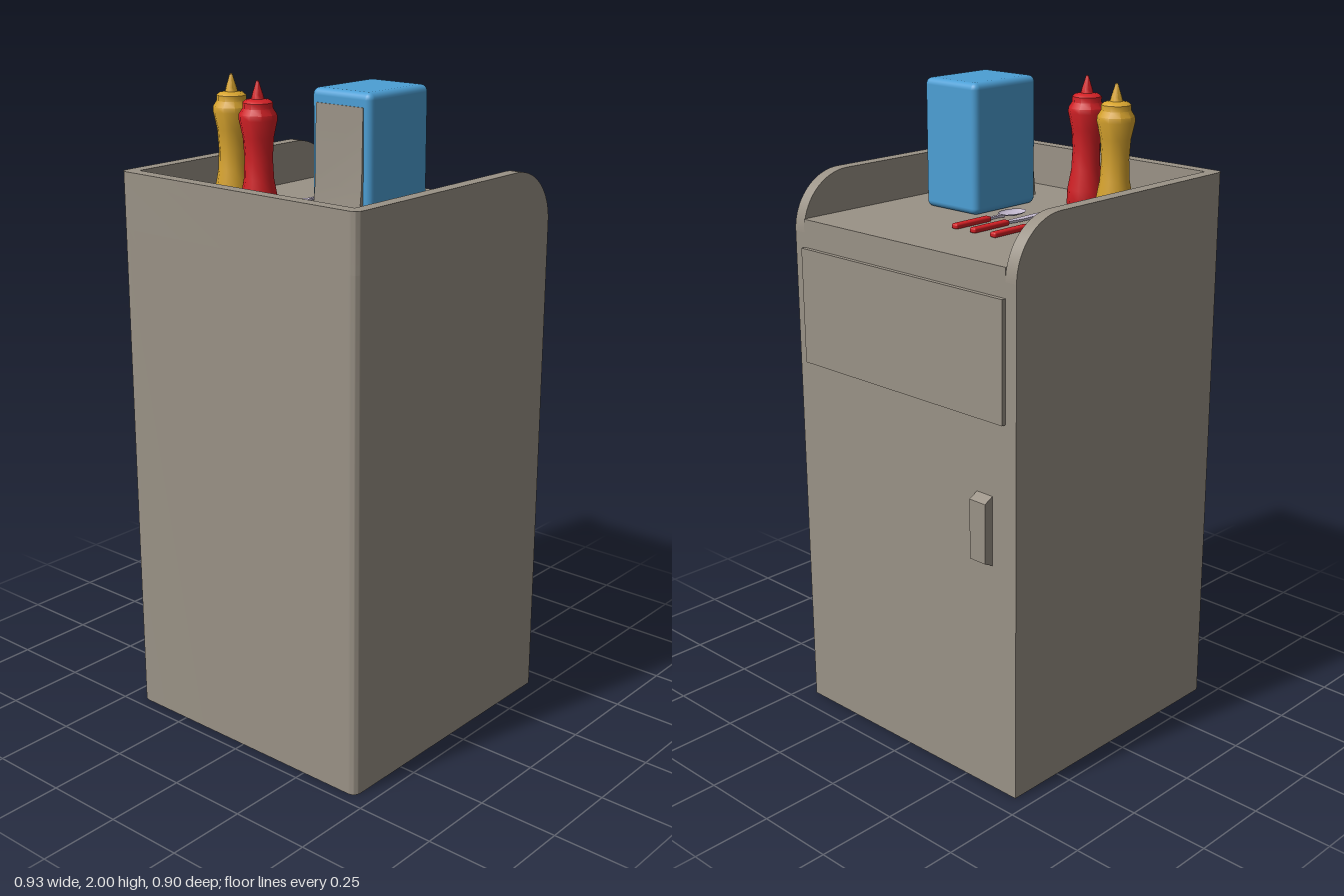
import * as THREE from 'three';
import { toCreasedNormals } from 'three/addons/utils/BufferGeometryUtils.js';
import { RoundedBoxGeometry } from 'three/addons/geometries/RoundedBoxGeometry.js';

const mat = (name, color, side = THREE.FrontSide) => {
  const m = new THREE.MeshStandardMaterial({ color, side });
  m.name = name;
  return m;
};

export function createModel() {
  const group = new THREE.Group();
  group.name = 'condimentStation';
  const gray = mat('warmGray', 0x9a9286);
  const blue = mat('blue', 0x4c9fd5);
  const red = mat('red', 0xd32025);
  const mustard = mat('mustard', 0xd8a42e);
  const metal = mat('paleMetal', 0xc3b9cf, THREE.DoubleSide);

  const add = (name, geo, material, x = 0, y = 0, z = 0) => {
    const mesh = new THREE.Mesh(geo, material);
    mesh.name = name;
    mesh.position.set(x, y, z);
    group.add(mesh);
    return mesh;
  };
  const box = (name, material, x0, x1, y0, y1, z0, z1) =>
    add(name, new THREE.BoxGeometry(x1 - x0, y1 - y0, z1 - z0), material,
      (x0 + x1) / 2, (y0 + y1) / 2, (z0 + z1) / 2);
  const extrude = (shape, depth) => toCreasedNormals(
    new THREE.ExtrudeGeometry(shape, { depth, bevelEnabled: false, curveSegments: 10 }), 0.6);
  // Plan outline (x, -z) raised from y0 to y1
  const raise = (name, shape, y0, y1, material) =>
    add(name, extrude(shape, y1 - y0).rotateX(-Math.PI / 2), material, 0, y0, 0);
  const polygon = (points) => new THREE.Shape(points.map(([x, y]) => new THREE.Vector2(x, y)));

  const BACK = -0.465, FRONT = 0.433, W = 0.45, INNER = 0.41, R = 0.03;
  const BASE = 1.56, TRAY = 1.6, TOP = 1.73, CURVE = 0.26;

  // Cabinet with rounded rear corners
  const plan = (front) => {
    const s = new THREE.Shape();
    s.moveTo(front, -W);
    s.lineTo(front, W);
    s.lineTo(BACK + R, W);
    s.quadraticCurveTo(BACK, W, BACK, W - R);
    s.lineTo(BACK, -W + R);
    s.quadraticCurveTo(BACK, -W, BACK + R, -W);
    return s;
  };
  raise('cabinetBody', plan(FRONT), 0, BASE, gray);
  box('trayFloor', gray, -0.425, FRONT, BASE, TRAY, -INNER, INNER);

  // U-shaped rim around the tray
  const rim = plan(CURVE);
  rim.lineTo(CURVE, -INNER);
  rim.lineTo(-0.425, -INNER);
  rim.lineTo(-0.425, INNER);
  rim.lineTo(CURVE, INNER);
  rim.lineTo(CURVE, W);
  const u = new THREE.Shape();
  u.moveTo(CURVE, W);
  u.lineTo(BACK + R, W);
  u.quadraticCurveTo(BACK, W, BACK, W - R);
  u.lineTo(BACK, -W + R);
  u.quadraticCurveTo(BACK, -W, BACK + R, -W);
  u.lineTo(CURVE, -W);
  u.lineTo(CURVE, -INNER);
  u.lineTo(-0.425, -INNER);
  u.lineTo(-0.425, INNER);
  u.lineTo(CURVE, INNER);
  raise('trayRim', u, BASE, TOP, gray);

  // Curved ends of the rim
  const end = new THREE.Shape();
  end.moveTo(CURVE, BASE);
  end.lineTo(FRONT, BASE);
  end.absellipse(CURVE, BASE, FRONT - CURVE, TOP - BASE, 0, Math.PI / 2, false);
  for (const z of [-W, INNER]) add('rimEnd', extrude(end, W - INNER), gray, 0, 0, z);

  // Flap and door handle
  box('wasteFlap', gray, FRONT - 0.01, 0.447, 1.16, 1.515, -INNER, INNER);
  const handle = polygon([[0.425, 0.72], [0.463, 0.738], [0.463, 0.92], [0.425, 0.94]]);
  add('doorHandle', extrude(handle, 0.06), gray, 0, 0, -0.36);

  // Napkin dispenser with a sloping face plate
  add('napkinDispenser', new RoundedBoxGeometry(0.265, 0.39, 0.215, 3, 0.02), blue,
    -0.073, 1.795, 0.172);
  const plate = polygon([[-0.2, 1.62], [-0.2, 1.95], [-0.208, 1.95], [-0.213, 1.73], [-0.226, 1.62]]);
  add('dispenserPlate', extrude(plate, 0.17), gray, 0, 0, 0.086);

  // Squeeze bottles
  const profile = [[0, 0], [0.052, 0], [0.057, 0.015], [0.055, 0.06], [0.044, 0.12], [0.041, 0.18],
    [0.045, 0.24], [0.056, 0.29], [0.055, 0.305], [0.044, 0.322], [0.044, 0.338], [0.036, 0.345],
    [0.019, 0.348], [0.016, 0.36], [0.004, 0.398], [0, 0.4]]
    .map(([r, y]) => new THREE.Vector2(r, y));
  const bottle = toCreasedNormals(new THREE.LatheGeometry(profile, 10), 0.75);
  add('ketchupBottle', bottle, red, -0.253, TRAY, -0.094);
  add('mustardBottle', bottle, mustard, -0.188, TRAY, -0.261);

  // Cutlery handles
  const Z = { fork: -0.157, knife: -0.077, spoon: -0.004 };
  for (const [name, z] of Object.entries(Z)) {
    add(name + 'Handle', new RoundedBoxGeometry(0.146, 0.016, 0.024, 2, 0.006), red, 0.147, TRAY + 0.008, z);
  }
  const cutlery = (name, points, z) => {
    const mesh = raise(name, polygon(points), TRAY + 0.004, TRAY + 0.011, metal);
    mesh.position.z = z;
  };

  // Fork: neck, shoulders and four tines
  const fork = [[0.08, -0.006], [0.08, 0.006], [0.03, 0.006], [0.015, 0.015]];
  for (let i = 0; i < 4; i++) {
    const y = 0.015 - i * 0.008;
    fork.push([-0.046, y], [-0.046, y - 0.005]);
    if (i < 3) fork.push([0.004, y - 0.005], [0.004, y - 0.008]);
  }
  fork.push([0.015, -0.015], [0.03, -0.006]);
  cutlery('forkHead', fork, Z.fork);

  // Knife blade
  cutlery('knifeBlade', [[0.08, -0.008], [0.08, 0.006], [0.03, 0.014], [-0.08, 0.014],
    [-0.115, 0.009], [-0.132, 0], [-0.134, -0.01], [-0.03, -0.011]], Z.knife);

  // Spoon: neck and hollow bowl
  cutlery('spoonNeck', [[0.08, -0.006], [0.08, 0.006], [0.04, 0.005], [0.018, 0.012],
    [0.018, -0.012], [0.04, -0.005]], Z.spoon);
  const bowl = new THREE.SphereGeometry(1, 20, 6, 0, Math.PI * 2, Math.PI / 2, Math.PI / 2);
  bowl.scale(0.05, 0.01, 0.033);
  add('spoonBowl', bowl, metal, -0.024, TRAY + 0.012, Z.spoon);

  return group;
}
